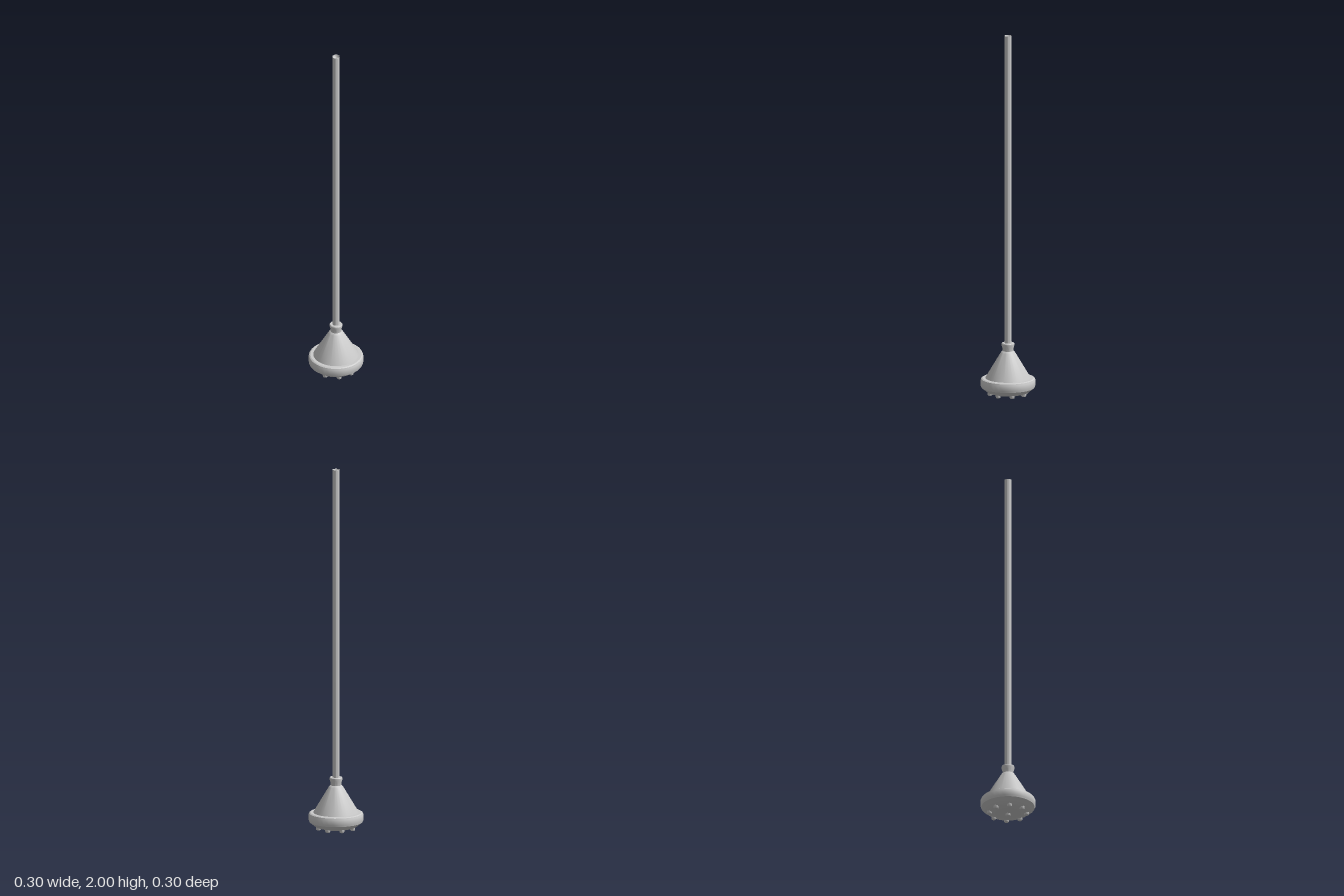
import * as THREE from 'three';
import { toCreasedNormals } from 'three/addons/utils/BufferGeometryUtils.js';

const material = new THREE.MeshStandardMaterial({ color: 0xcccccc, side: THREE.DoubleSide });

// Turned part from [radius, height] pairs, listed bottom to top along the outside
function turned(name, profile, segments = 32) {
  const points = profile.map(([r, y]) => new THREE.Vector2(r, y));
  const geometry = toCreasedNormals(new THREE.LatheGeometry(points, segments), 0.5);
  const mesh = new THREE.Mesh(geometry, material);
  mesh.name = name;
  return mesh;
}

export function createModel() {
  const group = new THREE.Group();
  group.name = 'showerHead';

  // Long supply pipe with a hollowed upper end
  group.add(turned('pipe', [
    [0.02, 0.26], [0.02, 2], [0.018, 2], [0.015, 1.99], [0.008, 1.982], [0, 1.98],
  ]));

  // Flared collar where the pipe meets the head
  group.add(turned('collar', [
    [0.029, 0.25], [0.03, 0.268], [0.035, 0.284], [0.035, 0.293], [0.032, 0.297], [0.019, 0.297],
  ]));

  // Conical bell
  group.add(turned('bell', [
    [0.124, 0.095], [0.122, 0.104], [0.04, 0.242], [0.034, 0.25], [0.026, 0.255],
  ]));

  // Rounded rim and gently domed spray face
  group.add(turned('rimAndFace', [
    [0, 0.014], [0.05, 0.015], [0.09, 0.019], [0.112, 0.026], [0.136, 0.045],
    [0.145, 0.052], [0.148, 0.06], [0.148, 0.092], [0.145, 0.099], [0.138, 0.103], [0.118, 0.103],
  ]));

  // Spray nozzles: one in the centre and a ring of eight
  const nozzleProfile = [
    [0, 0], [0.008, 0], [0.012, 0.003], [0.014, 0.008], [0.014, 0.025],
  ];
  const nozzles = new THREE.Group();
  nozzles.name = 'nozzles';
  nozzles.add(turned('centreNozzle', nozzleProfile, 12));
  for (let i = 0; i < 8; i++) {
    const angle = (i * Math.PI) / 4;
    const nozzle = turned('ringNozzle', nozzleProfile, 12);
    nozzle.position.set(0.1 * Math.cos(angle), 0.009, 0.1 * Math.sin(angle));
    nozzles.add(nozzle);
  }
  group.add(nozzles);
  return group;
}
